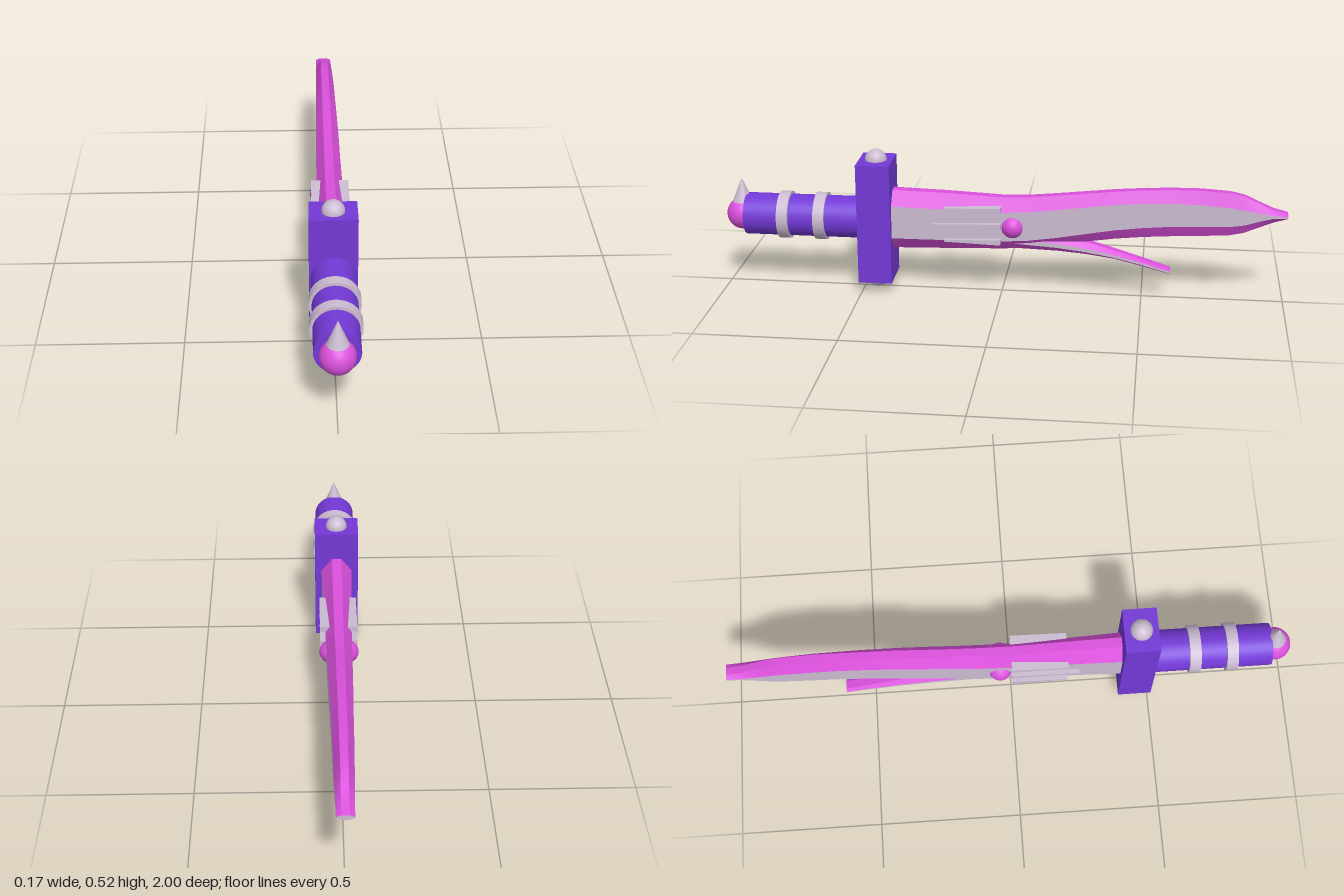
import * as THREE from 'three';
import { toCreasedNormals } from 'three/addons/utils/BufferGeometryUtils.js';

const material = (name, color, side = THREE.FrontSide) => {
  const m = new THREE.MeshStandardMaterial({ color, side });
  m.name = name;
  return m;
};

// Octagonal cross-section: [z, top, side top, side bottom, bottom, half width, half ridge]
const ring = ([z, t, st, sb, b, w, r]) => [
  [r, t, z], [w, st, z], [w, sb, z], [r, b, z],
  [-r, b, z], [-w, sb, z], [-w, st, z], [-r, t, z],
];

// Joins sections and returns the bevelled edges and the flat sides separately
function loft(sections) {
  const rings = sections.map(ring);
  const edges = [], sides = [];
  for (let i = 0; i < rings.length - 1; i++) {
    for (let j = 0; j < 8; j++) {
      const k = (j + 1) % 8;
      const a = rings[i][j], b = rings[i][k], c = rings[i + 1][k], d = rings[i + 1][j];
      (j === 1 || j === 5 ? sides : edges).push(...a, ...b, ...c, ...a, ...c, ...d);
    }
  }
  const end = rings[rings.length - 1];
  for (let j = 1; j < 7; j++) sides.push(...end[0], ...end[j], ...end[j + 1]);
  return [edges, sides].map((points) => {
    const g = new THREE.BufferGeometry();
    g.setAttribute('position', new THREE.Float32BufferAttribute(points, 3));
    return toCreasedNormals(g, 0.4);
  });
}

export function createModel() {
  const model = new THREE.Group();
  const purple = material('purple grip', 0x7339d6);
  const pink = material('pink edge', 0xda50dc);
  const silver = material('pale silver', 0xcbbcd2);

  const add = (name, geometry, mat, x = 0, y = 0, z = 0, parent = model) => {
    const mesh = new THREE.Mesh(geometry, mat);
    mesh.name = name;
    mesh.position.set(x, y, z);
    parent.add(mesh);
    return mesh;
  };

  const axisY = 0.262;

  // Guard with a stud at each end
  add('guard', new THREE.BoxGeometry(0.16, 0.44, 0.12), purple, 0, 0.26, 0.45);
  for (const y of [0.04, 0.48]) {
    add('guardStud', new THREE.SphereGeometry(0.039, 32, 20), silver, 0, y, 0.45);
  }

  // Grip with two bands
  const rod = (radius, length) => new THREE.CylinderGeometry(radius, radius, length, 40).rotateX(Math.PI / 2);
  add('grip', rod(0.075, 0.425), purple, 0, axisY, 0.7125);
  for (const z of [0.65, 0.782]) add('gripBand', rod(0.085, 0.04), silver, 0, axisY, z);

  // Pommel ball and its horn
  add('pommel', new THREE.SphereGeometry(0.058, 32, 24), pink, 0, axisY, 0.942);
  add('pommelHorn', new THREE.ConeGeometry(0.036, 0.088, 32), silver, 0, 0.351, 0.942);

  // Main blade
  const blade = new THREE.Group();
  blade.name = 'blade';
  model.add(blade);
  const [bladeEdges, bladeSides] = loft([
    [0.40, 0.375, 0.325, 0.205, 0.157, 0.056, 0.018],
    [0.20, 0.370, 0.319, 0.204, 0.162, 0.050, 0.017],
    [0.00, 0.361, 0.313, 0.205, 0.168, 0.046, 0.016],
    [-0.10, 0.364, 0.318, 0.212, 0.174, 0.045, 0.016],
    [-0.20, 0.374, 0.330, 0.226, 0.190, 0.043, 0.015],
    [-0.30, 0.385, 0.343, 0.244, 0.206, 0.042, 0.015],
    [-0.40, 0.396, 0.355, 0.261, 0.221, 0.040, 0.015],
    [-0.50, 0.404, 0.363, 0.273, 0.231, 0.038, 0.014],
    [-0.60, 0.409, 0.366, 0.281, 0.238, 0.036, 0.014],
    [-0.70, 0.410, 0.364, 0.284, 0.243, 0.035, 0.014],
    [-0.80, 0.404, 0.356, 0.287, 0.249, 0.033, 0.013],
    [-0.85, 0.393, 0.349, 0.294, 0.260, 0.032, 0.013],
    [-0.90, 0.370, 0.340, 0.309, 0.281, 0.031, 0.013],
    [-0.95, 0.348, 0.332, 0.322, 0.302, 0.030, 0.013],
    [-1.00, 0.335, 0.328, 0.324, 0.317, 0.029, 0.013],
  ]);
  add('bladeEdges', bladeEdges, pink, 0, 0, 0, blade);
  add('bladeSides', bladeSides, silver, 0, 0, 0, blade);

  // Lower prong branching from the blade
  const prong = new THREE.Group();
  prong.name = 'prong';
  model.add(prong);
  const [prongEdges, prongSides] = loft([
    [-0.05, 0.240, 0.215, 0.195, 0.172, 0.036, 0.015],
    [-0.20, 0.225, 0.200, 0.185, 0.167, 0.035, 0.015],
    [-0.30, 0.205, 0.185, 0.172, 0.159, 0.033, 0.015],
    [-0.40, 0.176, 0.163, 0.154, 0.145, 0.030, 0.014],
    [-0.50, 0.145, 0.137, 0.129, 0.121, 0.027, 0.014],
    [-0.60, 0.112, 0.107, 0.100, 0.095, 0.024, 0.014],
  ]);
  add('prongEdges', prongEdges, pink, 0, 0, 0, prong);
  add('prongSides', prongSides, silver, 0, 0, 0, prong);

  // Lens-shaped gem through the blade
  const gem = add('gem', new THREE.SphereGeometry(0.05, 32, 24), pink, 0, 0.257, -0.04);
  gem.scale.x = 1.4;

  // Three tapered fins on each side, narrowing towards the guard
  for (const side of [1, -1]) {
    for (const [y, length] of [[0.325, 0.2], [0.265, 0.24], [0.207, 0.2]]) {
      const fin = new THREE.BoxGeometry(0.034, 0.02, length);
      const p = fin.attributes.position;
      for (let i = 0; i < p.count; i++) if (p.getZ(i) > 0) p.setY(i, p.getY(i) * 0.3);
      fin.computeVertexNormals();
      add(side > 0 ? 'leftFin' : 'rightFin', fin, silver, side * 0.049, y, length / 2);
    }
  }

  return model;
}
